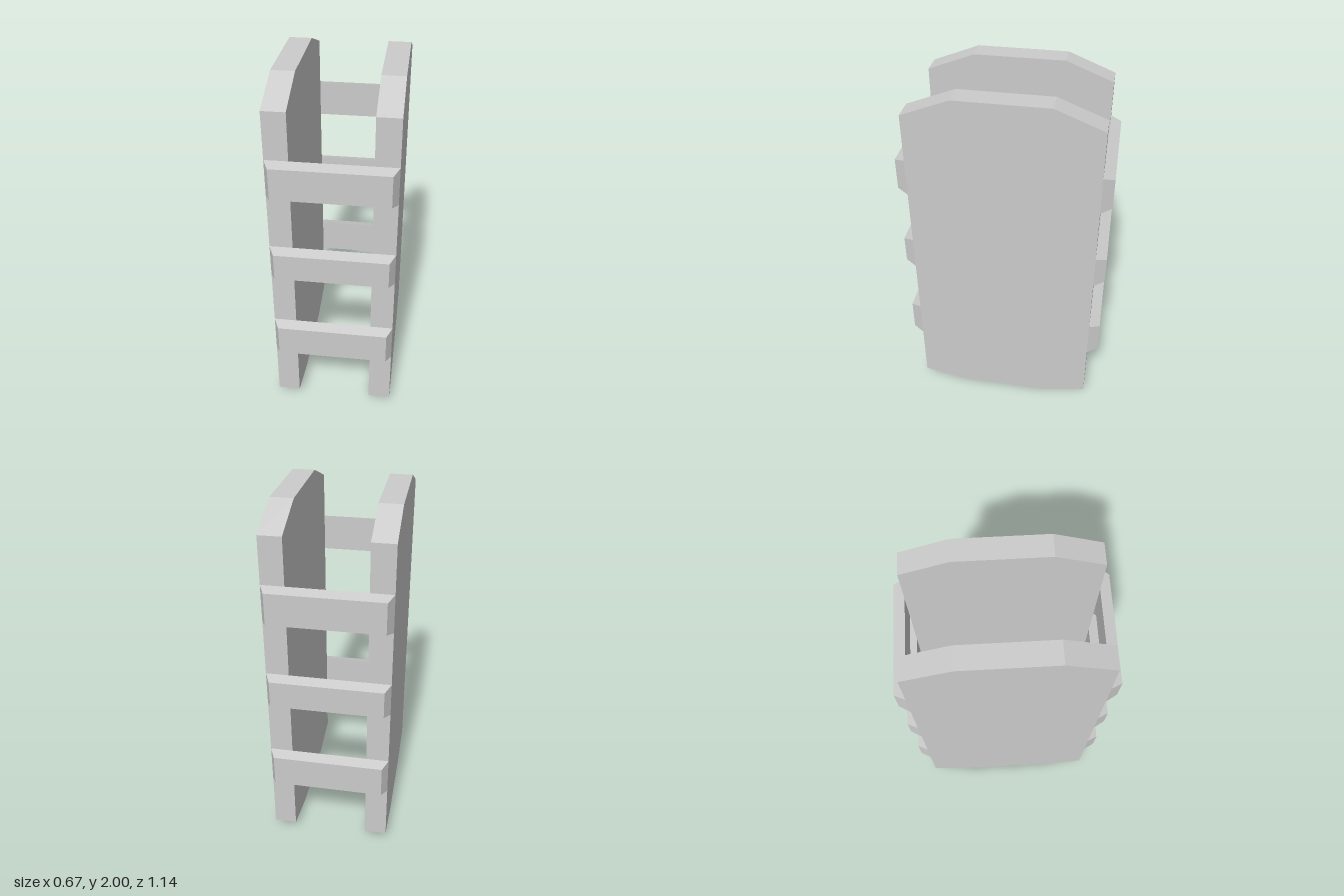
import * as THREE from 'three';

const HALF_WIDTH = 0.337, INNER = 0.212, DEPTH = 0.51, SLAT_FACE = 0.57;

// Upright slab with clipped top and bottom corners, extruded across x
function panelGeometry() {
  const right = [[0.25, 0], [DEPTH, 0.052], [DEPTH, 1.897], [0.25, 2]];
  const left = right.map(([z, y]) => [-z, y]).reverse();
  const shape = new THREE.Shape([...right, ...left].map(([z, y]) => new THREE.Vector2(z, y)));
  const geo = new THREE.ExtrudeGeometry(shape, { depth: HALF_WIDTH - INNER, bevelEnabled: false });
  return geo.rotateY(Math.PI / 2);
}

// Cross slat whose outer face is inset on all four edges
function slatGeometry(bottom, top) {
  const geo = new THREE.BoxGeometry(2 * HALF_WIDTH, top - bottom, SLAT_FACE - DEPTH);
  const p = geo.attributes.position;
  for (let i = 0; i < p.count; i++) {
    if (p.getZ(i) > 0) {
      p.setX(i, p.getX(i) - Math.sign(p.getX(i)) * 0.03);
      p.setY(i, p.getY(i) - Math.sign(p.getY(i)) * 0.017);
    }
  }
  geo.translate(0, (top + bottom) / 2, (SLAT_FACE + DEPTH) / 2);
  geo.computeVertexNormals();
  return geo;
}

export function createModel() {
  const model = new THREE.Group();
  model.name = 'slattedFrame';
  const material = new THREE.MeshStandardMaterial({ color: 0xcccccc, flatShading: true });
  const add = (name, geo) => {
    const mesh = new THREE.Mesh(geo, material);
    mesh.name = name;
    model.add(mesh);
    return mesh;
  };

  // Two side panels
  add('leftPanel', panelGeometry()).position.x = INNER;
  add('rightPanel', panelGeometry()).position.x = -HALF_WIDTH;

  // Three slats on the front and the same three on the back
  const levels = { lower: [0.39, 0.608], middle: [0.929, 1.118], upper: [1.427, 1.637] };
  for (const [level, [bottom, top]] of Object.entries(levels)) {
    const geo = slatGeometry(bottom, top);
    add(`${level}FrontSlat`, geo);
    add(`${level}BackSlat`, geo).rotation.y = Math.PI;
  }
  return model;
}
